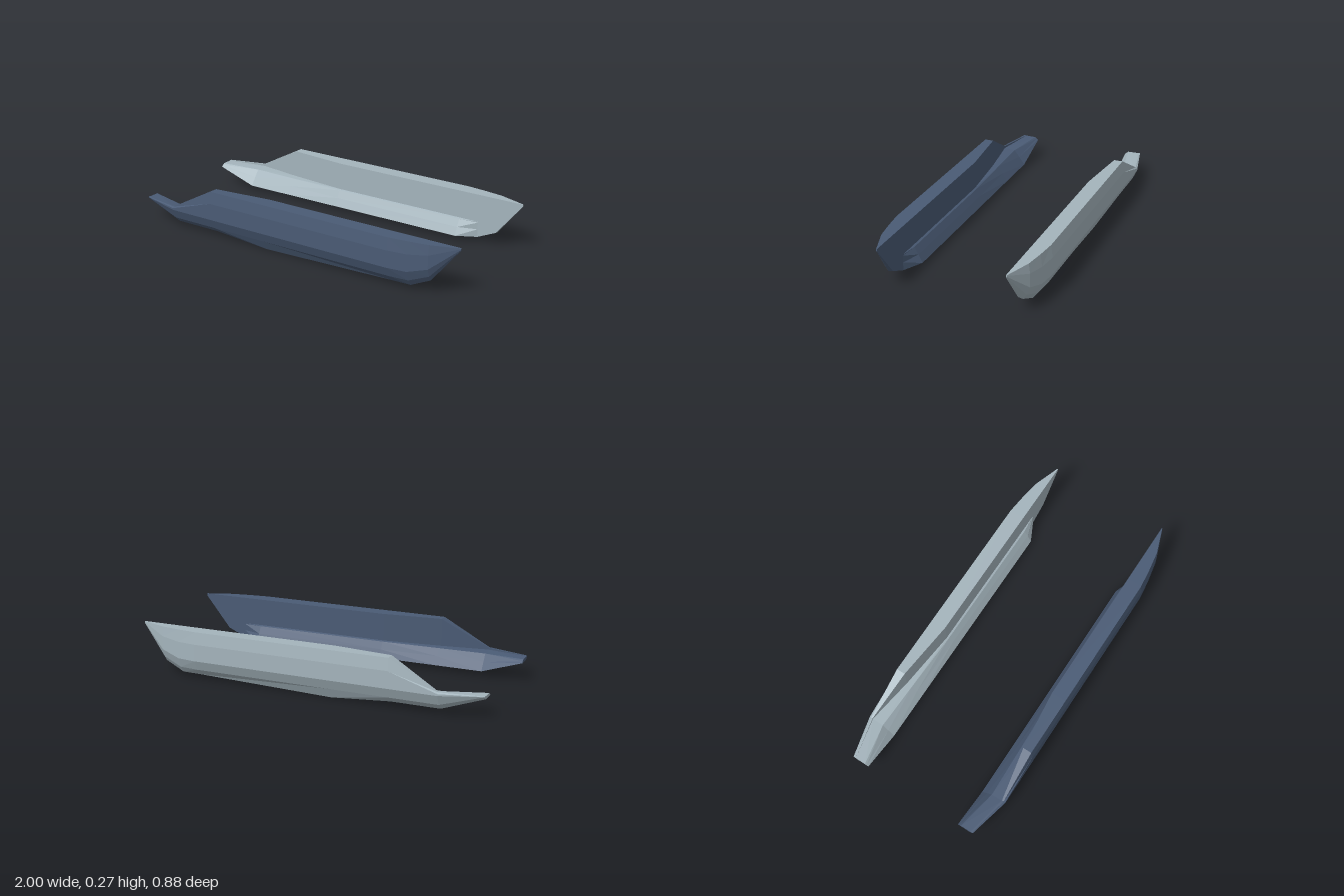
import * as THREE from 'three';

const INNER = 0.345;

// One row per station along the hull:
// x, width scale, inner wall z, ledge z, foot z, rim height, keel y, height scale
const STATIONS = [
  [-1.0, 0.42, 0.37, 0.31, 0.29, 0.126, 0.03, 0.2],
  [-0.77, 1, 0.42, 0.355, 0.29, 0.132, 0.03, 1],
  [-0.5, 1, 0.38, 0.347, 0.29, 0.278, 0.03, 1],
  [-0.16, 1, INNER, 0.335, 0.29, 0.278, 0.004, 1],
  [0.63, 1, INNER, 0.335, 0.29, 0.278, 0.026, 1],
  [0.74, 0.86, INNER, INNER, INNER, 0.278, 0.025, 1],
  [0.85, 0.66, INNER, INNER, INNER, 0.278, 0.025, 0.8],
  [1.0, 0.05, INNER, INNER, INNER, 0.278, 0.025, 0.05],
];

// Cross-section: keel, outer side upwards, rim, inner wall downwards, sloped foot
function section([x, width, wall, ledge, foot, rim, keel, height]) {
  const outer = (z) => INNER + (z - INNER) * width;
  const ring = [
    [outer(0.385), keel],
    [outer(0.415), 0.06],
    [outer(0.44), 0.115],
    [outer(0.44), Math.min(0.21, rim - 0.007)],
    [Math.max(outer(0.43), wall), rim],
    [wall, rim],
    [wall, 0.12],
    [ledge, 0.115],
    [(ledge + foot) / 2, 0.075],
    [foot, 0.03],
  ];
  return ring.map(([z, y]) => new THREE.Vector3(x, rim - (rim - y) * height, z));
}

// Loft the sections; side = 1 for the front hull, -1 for its mirror
function hullGeometry(side) {
  const rings = STATIONS.map(section);
  const n = rings[0].length;
  const last = rings.length - 1;
  const points = rings.flat();
  const index = [];
  const tri = (a, b, c) => (side > 0 ? index.push(a, b, c) : index.push(a, c, b));

  for (let i = 0; i < last; i++) {
    for (let j = 0; j < n; j++) {
      const a = i * n + j;
      const b = i * n + ((j + 1) % n);
      tri(a, a + n, b);
      tri(b, a + n, b + n);
    }
  }
  // End caps, fanned from the middle of each end section
  for (const i of [0, last]) {
    const middle = new THREE.Vector3();
    rings[i].forEach((p) => middle.addScaledVector(p, 1 / n));
    const m = points.push(middle) - 1;
    for (let j = 0; j < n; j++) {
      const a = i * n + j;
      const b = i * n + ((j + 1) % n);
      if (i === 0) tri(m, a, b);
      else tri(m, b, a);
    }
  }
  points.forEach((p) => { p.z *= side; });
  const geometry = new THREE.BufferGeometry().setFromPoints(points);
  geometry.setIndex(index);
  geometry.computeVertexNormals();
  return geometry;
}

export function createModel() {
  const model = new THREE.Group();
  model.name = 'sideHulls';
  const hulls = [
    ['frontHull', 1, 0x4a5b75],
    ['backHull', -1, 0xa4b4bc],
  ];
  for (const [name, side, color] of hulls) {
    const material = new THREE.MeshStandardMaterial({ color, flatShading: true });
    const hull = new THREE.Mesh(hullGeometry(side), material);
    hull.name = name;
    model.add(hull);
  }
  return model;
}
